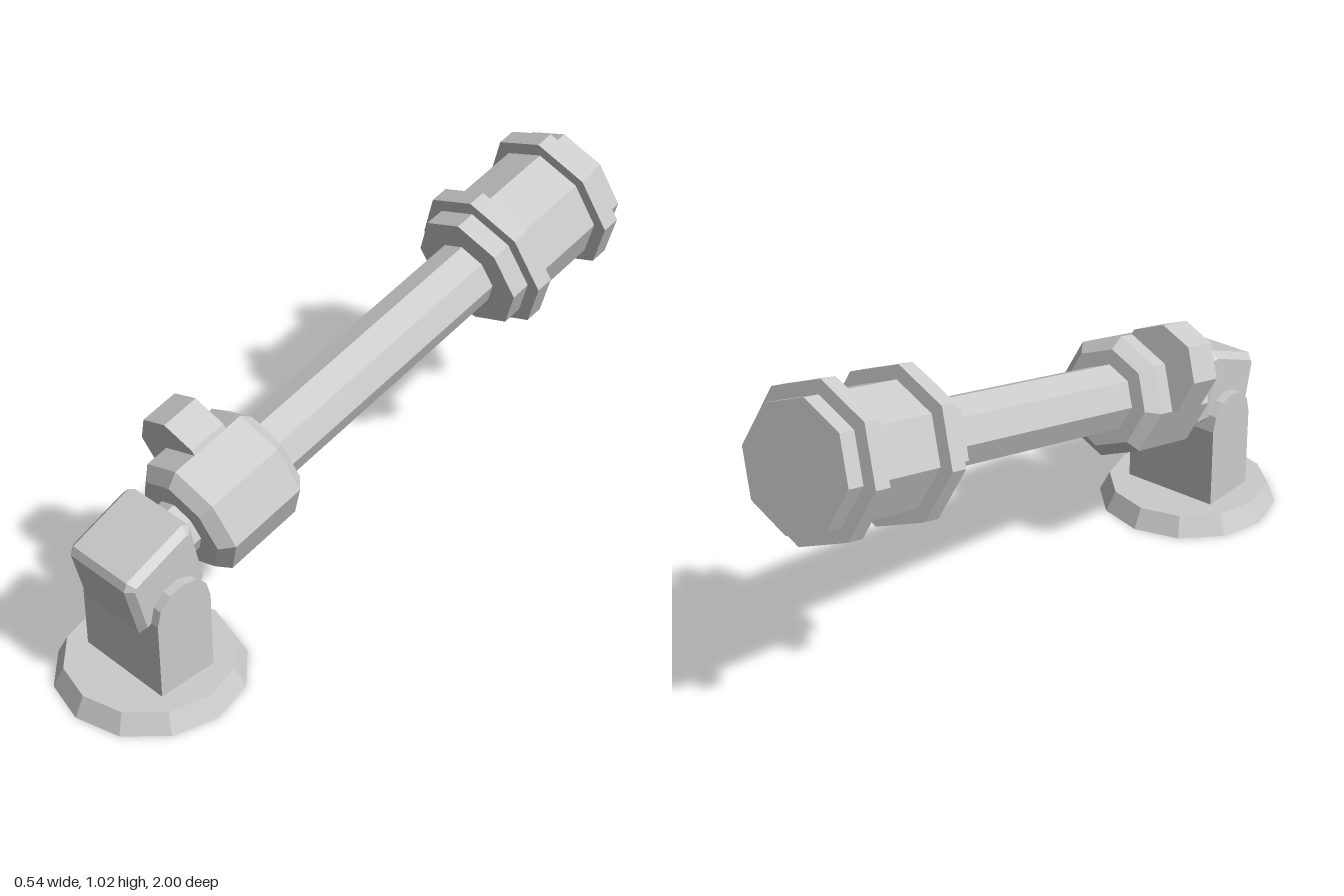
import * as THREE from 'three';

const grey = new THREE.MeshStandardMaterial({ color: 0xcccccc, flatShading: true });

function add(parent, name, geometry) {
  const mesh = new THREE.Mesh(geometry, grey);
  mesh.name = name;
  parent.add(mesh);
  return mesh;
}

// Solid of revolution about y from [radius, height] pairs, low to high
function turned(profile, sides = 8) {
  return new THREE.LatheGeometry(profile.map(([r, h]) => new THREE.Vector2(r, h)), sides);
}

function drum(radius, from, to) {
  return turned([[0, from], [radius, from], [radius, to], [0, to]]);
}

// Side outline of [z, y] pairs, extruded across x and centred
function crosswise(outline, width, bevel = 0) {
  const shape = new THREE.Shape(outline.map(([z, y]) => new THREE.Vector2(z, y)));
  const depth = width - 2 * bevel;
  const geometry = new THREE.ExtrudeGeometry(shape, {
    depth, bevelEnabled: bevel > 0, bevelSize: bevel, bevelThickness: bevel,
    bevelOffset: -bevel, bevelSegments: 1,
  });
  return geometry.translate(0, 0, -depth / 2).rotateY(-Math.PI / 2);
}

export function createModel() {
  const model = new THREE.Group();
  model.name = 'jointedArm';
  const baseZ = 0.73;

  // Round foot
  add(model, 'foot', new THREE.CylinderGeometry(0.24, 0.27, 0.06, 12)).position.set(0, 0.03, baseZ);

  // Pedestal with a rounded top
  const arch = [[baseZ - 0.093, 0.05], [baseZ + 0.093, 0.05]];
  for (let i = 0; i <= 6; i++) {
    const a = (i / 6) * Math.PI;
    arch.push([baseZ + 0.093 * Math.cos(a), 0.305 + 0.093 * Math.sin(a)]);
  }
  add(model, 'pedestal', crosswise(arch, 0.304));

  // Chamfered elbow block
  add(model, 'elbowBlock', crosswise([
    [0.85, 0.275], [0.62, 0.33], [0.66, 0.53], [0.685, 0.545], [0.88, 0.465], [0.89, 0.44],
  ], 0.25, 0.02));

  // Arm: local y runs along the arm, local z is its upper side
  const arm = new THREE.Group();
  arm.name = 'arm';
  arm.position.set(0, 0.402, baseZ);
  arm.rotation.x = -THREE.MathUtils.degToRad(76);
  model.add(arm);

  add(arm, 'neck', drum(0.08, 0.05, 0.16));
  add(arm, 'housing', turned([
    [0, 0.135], [0.145, 0.135], [0.18, 0.17], [0.18, 0.412], [0.145, 0.446], [0, 0.446],
  ]));
  add(arm, 'sideDrum', drum(0.135, 0.24, 0.357)).position.set(-0.1, 0, 0.1);
  add(arm, 'tube', drum(0.1, 0.42, 1.3));

  // Head with two raised bands
  add(arm, 'head', drum(0.18, 1.28, 1.74));
  for (const at of [1.34, 1.632]) add(arm, 'headBand', drum(0.22, at, at + 0.054));

  return model;
}
